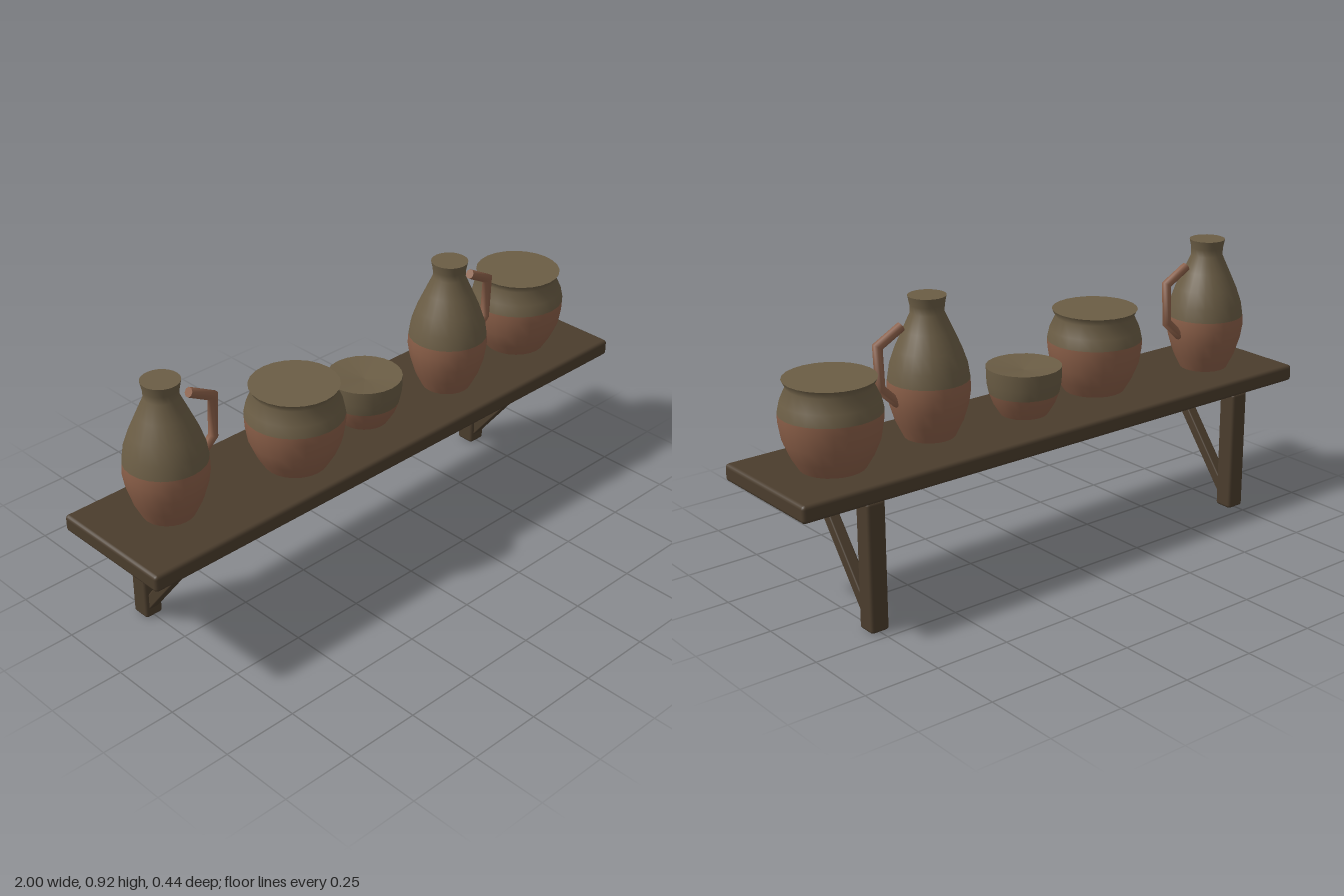
import * as THREE from 'three';
import { RoundedBoxGeometry } from 'three/addons/geometries/RoundedBoxGeometry.js';

const material = (name, color) => {
  const m = new THREE.MeshStandardMaterial({ color });
  m.name = name;
  return m;
};

// Polyline bar in the xy plane with mitred corners and closed ends.
function barGeometry(path, radius, sides = 8) {
  const pts = path.map(([x, y]) => new THREE.Vector2(x, y));
  const pos = [], index = [], last = pts.length - 1;
  pts.forEach((p, i) => {
    const dirIn = pts[Math.max(i, 1)].clone().sub(pts[Math.max(i, 1) - 1]).normalize();
    const k = Math.min(i, last - 1);
    const dirOut = pts[k + 1].clone().sub(pts[k]).normalize();
    const t = dirIn.clone().add(dirOut).normalize();
    const mitre = radius / t.dot(dirIn);
    for (let j = 0; j < sides; j++) {
      const a = (j + 0.5) / sides * Math.PI * 2;
      const c = Math.cos(a) * mitre;
      pos.push(p.x - t.y * c, p.y + t.x * c, Math.sin(a) * radius);
    }
  });
  for (let i = 0; i < last; i++) {
    for (let j = 0; j < sides; j++) {
      const a = i * sides + j, b = i * sides + (j + 1) % sides;
      index.push(a, b, a + sides, b, b + sides, a + sides);
    }
  }
  // End caps with their own vertices keep the ends crisp.
  for (const [ring, flip] of [[0, true], [last, false]]) {
    const base = pos.length / 3;
    pos.push(...pos.slice(ring * sides * 3, (ring + 1) * sides * 3));
    for (let j = 1; j < sides - 1; j++) {
      index.push(base, base + (flip ? j + 1 : j), base + (flip ? j : j + 1));
    }
  }
  const g = new THREE.BufferGeometry();
  g.setAttribute('position', new THREE.Float32BufferAttribute(pos, 3));
  g.setIndex(index);
  g.computeVertexNormals();
  return g;
}

export function createModel() {
  const wood = material('dark wood', 0x4b3d2d);
  const glaze = material('olive glaze', 0x6b5d45);
  const clay = material('terracotta', 0x8c6049);
  const model = new THREE.Group();
  model.name = 'potteryShelf';

  const add = (parent, name, geometry, mat, x = 0, y = 0, z = 0) => {
    const mesh = new THREE.Mesh(geometry, mat);
    mesh.name = name;
    mesh.position.set(x, y, z);
    parent.add(mesh);
    return mesh;
  };
  const lathe = (profile) =>
    new THREE.LatheGeometry(profile.map(([r, y]) => new THREE.Vector2(r, y)), 24);

  // Vessel: clay lower body, glazed upper body and a closed mouth.
  function vessel(name, x, z, lower, upper, dip = 0) {
    const g = new THREE.Group();
    g.name = name;
    g.position.set(x, 0.468, z);
    const [rimR, rimY] = upper[upper.length - 1];
    add(g, 'lowerBody', lathe(lower), clay);
    add(g, 'upperBody', lathe(upper), glaze);
    add(g, 'mouth', lathe([[rimR, rimY], [0, rimY - dip]]), glaze);
    add(g, 'base', lathe([[0, 0], [lower[0][0], 0]]), clay);
    model.add(g);
    return g;
  }

  // Shelf board
  add(model, 'shelfBoard', new RoundedBoxGeometry(2, 0.056, 0.436, 2, 0.012), wood, 0, 0.443, 0);

  // Wall posts with diagonal braces
  const top = new THREE.Vector2(0.117, 0.405), foot = new THREE.Vector2(-0.17, 0.036);
  const length = top.distanceTo(foot);
  for (const side of [-1, 1]) {
    const bracket = new THREE.Group();
    bracket.name = side < 0 ? 'rightBracket' : 'leftBracket';
    bracket.position.x = side * 0.75;
    add(bracket, 'post', new RoundedBoxGeometry(0.064, 0.42, 0.066, 2, 0.01), wood, 0, 0.21, -0.182);
    const brace = add(bracket, 'brace', new RoundedBoxGeometry(0.038, length, 0.037, 2, 0.005),
      wood, 0, (top.y + foot.y) / 2, (top.x + foot.x) / 2);
    brace.rotation.x = Math.atan2(top.x - foot.x, top.y - foot.y);
    model.add(bracket);
  }

  // Tall jugs with angular handles
  for (const [name, x, z] of [['rightJug', -0.762, -0.019], ['leftJug', 0.382, 0.027]]) {
    const jug = vessel(name, x, z,
      [[0.08, 0], [0.107, 0.055], [0.124, 0.11], [0.131, 0.155], [0.129, 0.19]],
      [[0.129, 0.19], [0.122, 0.235], [0.104, 0.287], [0.078, 0.345], [0.053, 0.4], [0.054, 0.425], [0.06, 0.454]]);
    add(jug, 'handle', barGeometry(
      [[0.098, 0.372], [0.186, 0.325], [0.18, 0.19], [0.118, 0.132]], 0.016), clay);
  }

  // Wide pots with flared rims
  for (const [name, x, z] of [['rightPot', -0.305, 0.037], ['leftPot', 0.761, -0.006]]) {
    vessel(name, x, z,
      [[0.1, 0], [0.127, 0.045], [0.148, 0.095], [0.157, 0.15], [0.158, 0.178]],
      [[0.158, 0.178], [0.15, 0.215], [0.13, 0.258], [0.142, 0.281]]);
  }

  // Small bowl
  vessel('bowl', 0.027, 0,
    [[0.076, 0], [0.1, 0.038], [0.114, 0.076]],
    [[0.114, 0.076], [0.121, 0.11], [0.123, 0.162]], 0.015);

  return model;
}
